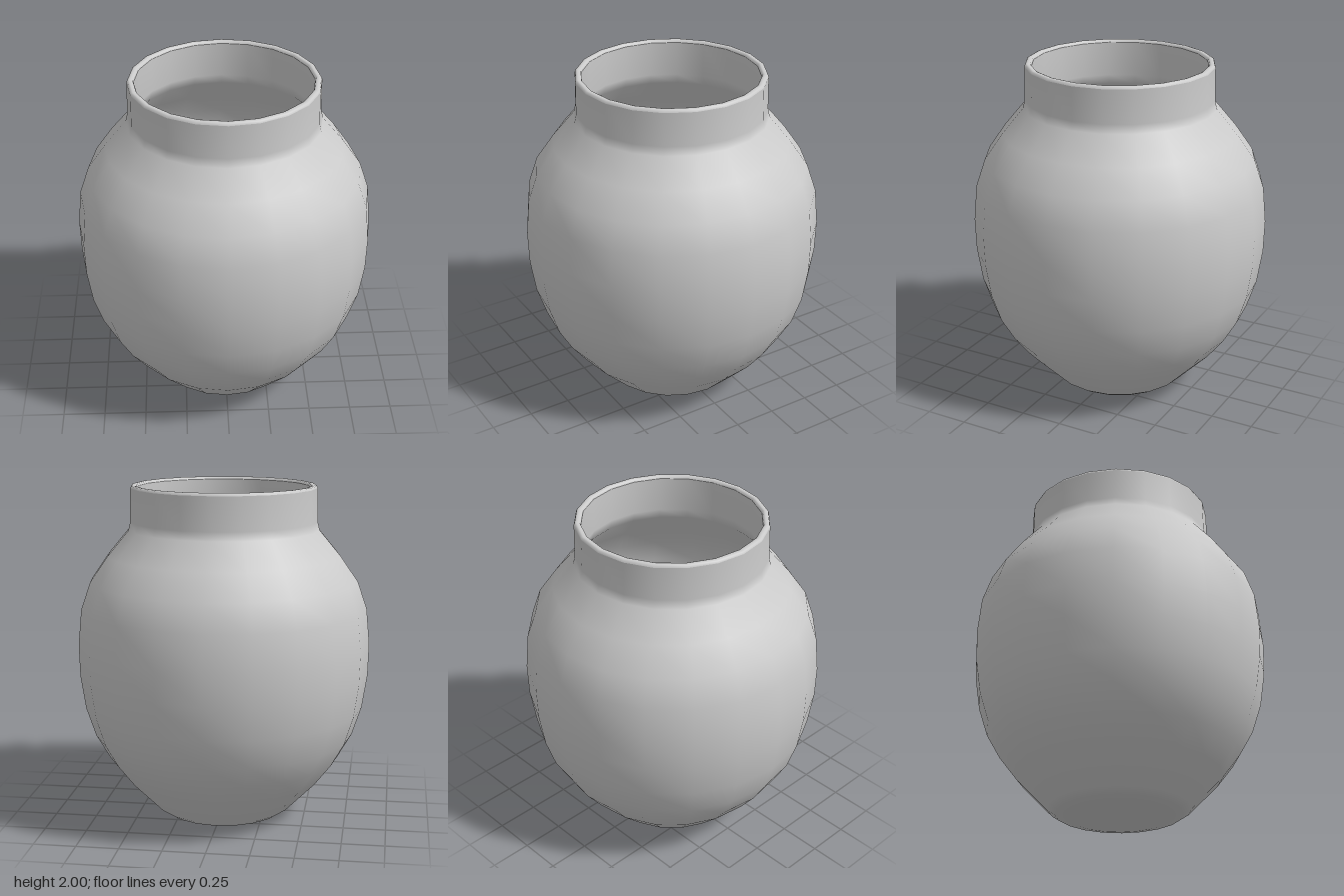
import * as THREE from 'three';

const SIDES = 20;

export function createModel() {
  const group = new THREE.Group();
  const material = new THREE.MeshStandardMaterial({ color: 0xcccccc });

  // Profiles are [radius, height]; the lathe gives smooth normals
  const addLathe = (name, profile) => {
    const points = profile.map(([r, y]) => new THREE.Vector2(r, y));
    const mesh = new THREE.Mesh(new THREE.LatheGeometry(points, SIDES), material);
    mesh.name = name;
    group.add(mesh);
  };

  // Outer wall, from the centre of the base up to the neck
  addLathe('outerWall', [
    [0, 0], [0.3, 0.005], [0.37, 0.02], [0.415, 0.05], [0.6, 0.24],
    [0.7, 0.37], [0.78, 0.51], [0.835, 0.68], [0.865, 0.88], [0.87, 1.07],
    [0.85, 1.28], [0.795, 1.44], [0.69, 1.59], [0.565, 1.74], [0.553, 1.79],
    [0.55, 1.985],
  ]);

  // Rounded lip joining the outer and inner walls
  addLathe('rim', [[0.55, 1.985], [0.545, 1.997], [0.535, 2], [0.525, 2], [0.515, 1.997], [0.51, 1.985]]);

  // Inner wall, from the neck down to the centre of the floor
  addLathe('innerWall', [
    [0.51, 1.985], [0.512, 1.78], [0.53, 1.72], [0.655, 1.57], [0.755, 1.42],
    [0.81, 1.27], [0.83, 1.07], [0.825, 0.88], [0.795, 0.69], [0.745, 0.53],
    [0.665, 0.39], [0.57, 0.27], [0.39, 0.085], [0.34, 0.055], [0, 0.045],
  ]);

  return group;
}
